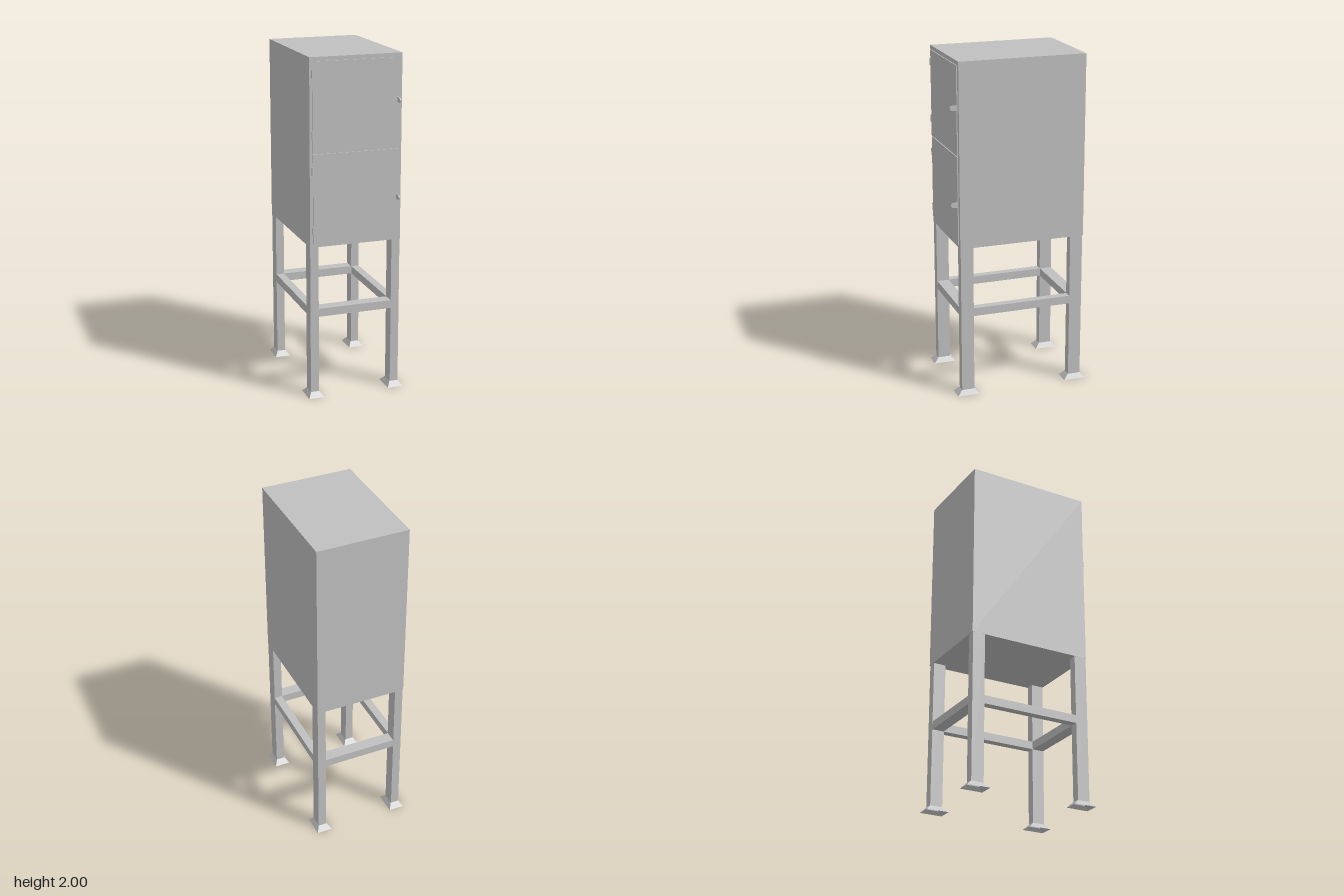
import * as THREE from 'three';

const metal = new THREE.MeshStandardMaterial({ color: 0xc0c0c0 });
metal.name = 'grey metal';
const sheet = new THREE.MeshStandardMaterial({ color: 0xc0c0c0, side: THREE.DoubleSide });
sheet.name = 'grey sheet metal';

export function createModel() {
  const model = new THREE.Group();
  model.name = 'cabinetOnStand';

  const add = (name, geometry, material = metal) => {
    const mesh = new THREE.Mesh(geometry, material);
    mesh.name = name;
    model.add(mesh);
    return mesh;
  };
  // Box given by its limits on each axis
  const box = (name, [x0, x1], [y0, y1], [z0, z1]) =>
    add(name, new THREE.BoxGeometry(x1 - x0, y1 - y0, z1 - z0))
      .position.set((x0 + x1) / 2, (y0 + y1) / 2, (z0 + z1) / 2);

  // Open four-sided tube, tapering from bottom size to top size
  const squareTube = (name, x, z, y0, y1, bottom, top) => {
    const g = new THREE.CylinderGeometry(Math.SQRT1_2, Math.SQRT1_2, 1, 4, 1, true)
      .rotateY(Math.PI / 4).toNonIndexed();
    const p = g.attributes.position;
    for (let i = 0; i < p.count; i++) {
      const high = p.getY(i) > 0;
      const [w, d] = high ? top : bottom;
      p.setXYZ(i, x + p.getX(i) * w, high ? y1 : y0, z + p.getZ(i) * d);
    }
    g.computeVertexNormals();
    add(name, g, sheet);
  };

  // Cabinet body
  box('cabinetBody', [-0.274, 0.274], [0.915, 2], [-0.39, 0.368]);

  // Two doors with a narrow gap between them
  box('upperDoor', [-0.256, 0.251], [1.461, 1.976], [0.367, 0.374]);
  box('lowerDoor', [-0.256, 0.251], [0.938, 1.455], [0.367, 0.374]);

  // Hinges
  for (const y of [1.905, 1.565, 1.36, 1.015]) {
    const hinge = add('hinge', new THREE.CylinderGeometry(0.005, 0.005, 0.044, 12));
    hinge.position.set(-0.259, y, 0.373);
  }

  // Flat lever handles with rounded ends
  for (const y of [1.737, 1.174]) {
    const s = new THREE.Shape();
    s.moveTo(-0.37, -0.016);
    s.lineTo(-0.399, -0.013);
    s.absarc(-0.4, 0, 0.013, -Math.PI / 2, Math.PI / 2, false);
    s.lineTo(-0.37, 0.016);
    s.closePath();
    // Mirror the profile so that the rounded end points forward
    const pts = s.getPoints(8).map(p => new THREE.Vector2(p.x < -0.399 ? p.x : 2 * -0.4 - p.x, p.y));
    const profile = new THREE.Shape([
      new THREE.Vector2(0.37, -0.016),
      ...Array.from({ length: 11 }, (_, i) => {
        const a = -Math.PI / 2 + (i / 10) * Math.PI;
        return new THREE.Vector2(0.4 + 0.013 * Math.cos(a), 0.013 * Math.sin(a));
      }),
      new THREE.Vector2(0.37, 0.016),
    ]);
    const g = new THREE.ExtrudeGeometry(profile, { depth: 0.008, bevelEnabled: false });
    g.rotateY(-Math.PI / 2);
    add('handle', g).position.set(0.252, y, 0);
  }

  // Hollow legs with flared feet
  for (const side of [-1, 1]) {
    for (const z of [0.328, -0.348]) {
      squareTube('leg', side * 0.248, z, 0.02, 0.916, [0.05, 0.076], [0.05, 0.076]);
      squareTube('foot', side * 0.2465, z, 0, 0.03, [0.093, 0.137], [0.052, 0.078]);
    }
  }

  // Rails joining the legs
  const railY = [0.492, 0.541];
  for (const z of [0.328, -0.348])
    box('crossRail', [-0.224, 0.224], railY, [z - 0.036, z + 0.036]);
  for (const side of [-1, 1])
    box('sideRail', [side * 0.248 - 0.024, side * 0.248 + 0.024], railY, [-0.311, 0.291]);

  return model;
}
